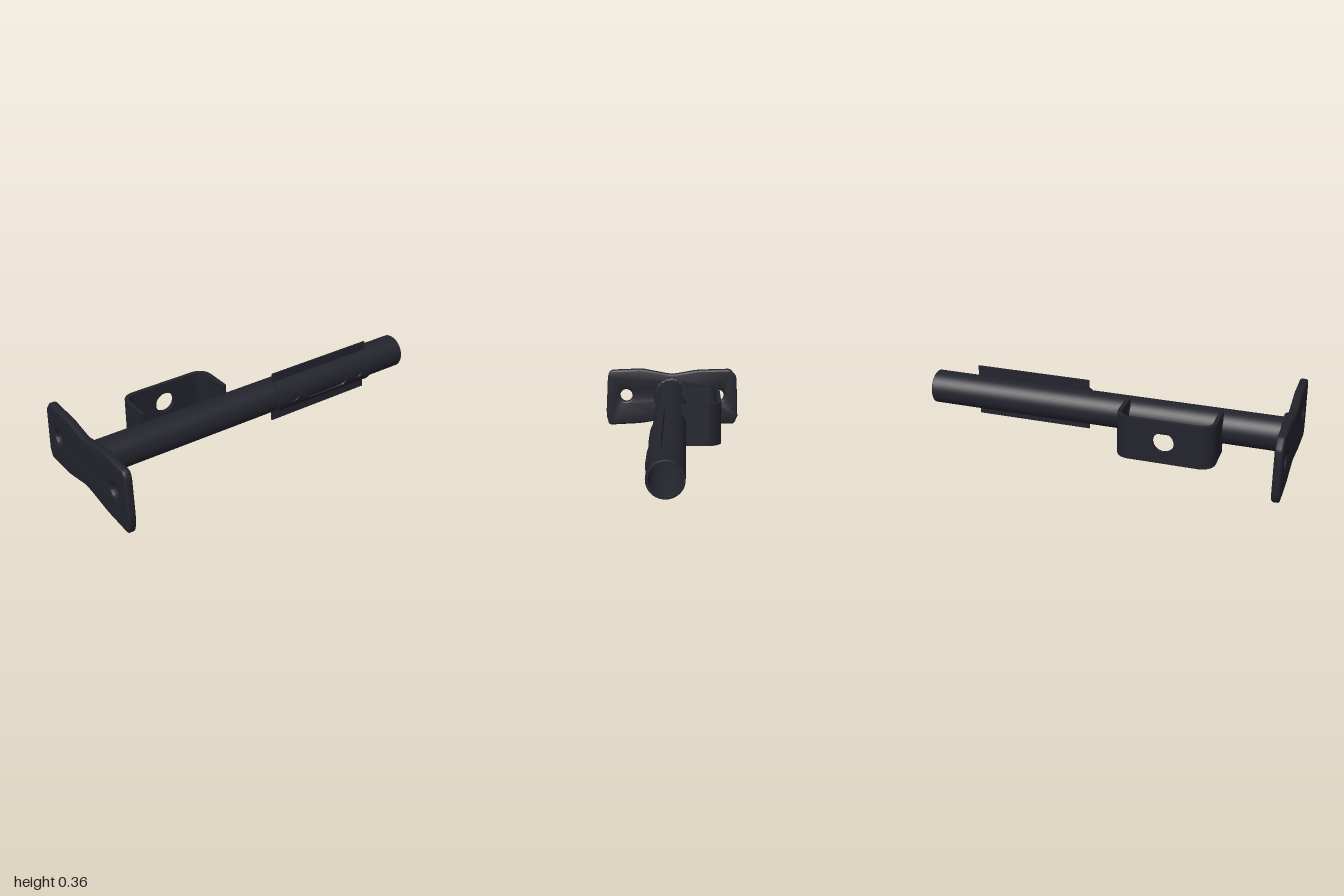
import * as THREE from 'three';
import { toCreasedNormals } from 'three/addons/utils/BufferGeometryUtils.js';

const CY = 0.19; // height of the tube axis
const R = 0.091; // tube radius
const SR = 0.1; // clamp sheet radius

export function createModel() {
  const model = new THREE.Group();
  model.name = 'tubeMount';
  const steel = new THREE.MeshStandardMaterial({ color: 0x23232d, side: THREE.DoubleSide });
  steel.name = 'darkSteel';

  const add = (name, geo, parent = model, crease = 0.6) => {
    const mesh = new THREE.Mesh(toCreasedNormals(geo, crease), steel);
    mesh.name = name;
    parent.add(mesh);
    return mesh;
  };
  const group = (name) => {
    const g = new THREE.Group();
    g.name = name;
    model.add(g);
    return g;
  };
  const shapeOf = (pts) => new THREE.Shape(pts.map(([x, y]) => new THREE.Vector2(x, y)));
  const circle = (x, y, r) => new THREE.Path().absarc(x, y, r, 0, Math.PI * 2, true);
  const extrude = (shape, depth, extra = {}) =>
    new THREE.ExtrudeGeometry(shape, { depth, bevelEnabled: false, curveSegments: 24, ...extra });

  // Grid surface from a rule f(i, j) -> [x, y, z]
  const surface = (ni, nj, f) => {
    const pos = [], idx = [];
    for (let i = 0; i <= ni; i++) for (let j = 0; j <= nj; j++) pos.push(...f(i, j));
    for (let i = 0; i < ni; i++) {
      for (let j = 0; j < nj; j++) {
        const a = i * (nj + 1) + j, b = a + nj + 1;
        idx.push(a, b, b + 1, a, b + 1, a + 1);
      }
    }
    const geo = new THREE.BufferGeometry();
    geo.setAttribute('position', new THREE.Float32BufferAttribute(pos, 3));
    geo.setIndex(idx);
    return geo;
  };

  // Hollow tube along x
  const tube = [[R, -0.96], [R, 0.996], [R - 0.003, 1], [0.079, 1], [0.077, 0.996], [0.077, -0.957]];
  add('tube', new THREE.LatheGeometry(tube.map(([r, x]) => new THREE.Vector2(r, x)), 48)
    .rotateZ(-Math.PI / 2).translate(0, CY, 0));

  // Weld bead with a slightly wavy rim
  const bead = [[0.113, -0.96], [0.113, -0.948], [0.109, -0.94], [0.102, -0.935], [0.089, -0.935]];
  const beadGeo = new THREE.LatheGeometry(bead.map(([r, x]) => new THREE.Vector2(r, x)), 120);
  const bp = beadGeo.attributes.position;
  for (let i = 0; i < bp.count; i++) {
    const k = 1 + 0.015 * Math.cos(20 * Math.atan2(bp.getZ(i), bp.getX(i)));
    bp.setX(i, bp.getX(i) * k);
    bp.setZ(i, bp.getZ(i) * k);
  }
  add('weldBead', beadGeo.rotateZ(-Math.PI / 2).translate(0, CY, 0));

  // Waisted mounting plate, outline in (z, y)
  const plate = shapeOf([
    [0.39, 0.003], [0.398, 0.012], [0.41, 0.06], [0.41, 0.1], [0.4, 0.305], [0.393, 0.33], [0.382, 0.343],
    [0.365, 0.349], [0.2, 0.356], [0.17, 0.354], [0.03, 0.327], [0, 0.324], [-0.03, 0.327], [-0.14, 0.347],
    [-0.17, 0.35], [-0.35, 0.356], [-0.367, 0.35], [-0.398, 0.313], [-0.402, 0.295], [-0.41, 0.06],
    [-0.393, 0.02], [-0.383, 0.011], [-0.2, 0.011], [-0.17, 0.016], [-0.04, 0.04], [0, 0.042],
    [0.04, 0.038], [0.18, 0.014], [0.22, 0.01], [0.375, 0.001],
  ]);
  for (const z of [-0.285, 0.285]) plate.holes.push(circle(z, CY, 0.038));
  add('mountingPlate', extrude(plate, 0.019, {
    bevelEnabled: true, bevelThickness: 0.012, bevelSize: 0.012, bevelOffset: -0.012, bevelSegments: 3,
  }).rotateY(-Math.PI / 2).translate(-0.969, 0, 0));

  // Bent strap bracket behind the tube
  const bracket = group('strapBracket');
  const T = 0.022, Y0 = 0.072, Y1 = 0.305, BX = -0.38, HALF = 0.26, BACK = -0.284, BEND = 0.075;
  const w = HALF - BEND;
  const panel = shapeOf([[-w, Y0], [w, Y0], [w, Y1], [-w, Y1]]);
  panel.holes.push(circle(0, CY, 0.056));
  add('bracketPanel', extrude(panel, T).translate(BX, 0, BACK), bracket);

  // Bracket arm, notched to sit on the tube, outline in (z, y)
  const notch = Math.asin(0.063 / R);
  const arm = new THREE.Shape();
  arm.moveTo(BACK + BEND, Y0);
  arm.lineTo(-0.063, Y0);
  arm.lineTo(-0.063, CY - R * Math.cos(notch));
  arm.absarc(0, CY, R, Math.PI * 1.5 - notch, Math.PI / 2 + notch, true);
  arm.lineTo(-0.063, Y1);
  arm.lineTo(BACK + BEND, Y1);
  for (const side of [-1, 1]) {
    const outer = BX + side * HALF;
    add('bracketArm', extrude(arm, T).rotateY(-Math.PI / 2)
      .translate(side > 0 ? outer : outer + T, 0, 0), bracket);
    // Quarter bend, drawn in (x, -z) and raised along y
    const cx = BX + side * w;
    const bend = new THREE.Shape();
    const [a0, a1] = side > 0 ? [0, Math.PI / 2] : [Math.PI / 2, Math.PI];
    bend.absarc(cx, -BACK - BEND, BEND, a0, a1, false);
    bend.absarc(cx, -BACK - BEND, BEND - T, a1, a0, true);
    add('bracketBend', extrude(bend, Y1 - Y0, { curveSegments: 6 })
      .rotateX(-Math.PI / 2).translate(0, Y0, 0), bracket);
  }

  // Clamp sheet wrapped round the front of the tube
  const clamp = group('clampSheet');
  const wrap = (x, s, r = SR) => [x, CY + r * Math.sin(s / SR), r * Math.cos(s / SR)];
  const X0 = 0.115, X1 = 0.76, SH = 0.07, SE = 0.127;

  // Rectangular patch with a rounded opening: [x0, x1, hole centre, half width, half height, corner]
  const N = 12;
  const square = (j) => {
    const q = ((j % (4 * N)) / N), k = Math.floor(q), f = (q - k) * 2 - 1;
    return [[1, f], [-f, 1], [-1, -f], [f, -1]][k];
  };
  const patches = [
    [X0, 0.29, 0.22, 0.028, 0.028, 0.028],
    [0.29, 0.6, 0.445, 0.135, 0.046, 0.034],
    [0.6, X1, 0.665, 0.028, 0.028, 0.028],
  ];
  for (const [x0, x1, hx, hw, hh, c] of patches) {
    add('clampFront', surface(7, 4 * N, (i, j) => {
      const [px, py] = square(j), len = Math.hypot(px, py);
      const ix = hx + Math.sign(px) * (hw - c) + c * px / len;
      const iy = Math.sign(py) * (hh - c) + c * py / len;
      const ox = (x0 + x1) / 2 + px * (x1 - x0) / 2, oy = py * SH;
      const t = Math.min(Math.max((i - 1) / 5, 0), 1);
      return wrap(ix + (ox - ix) * t, iy + (oy - iy) * t, i === 0 || i === 7 ? R - 0.001 : SR);
    }), clamp);
  }

  // Upper and lower wraps with their straight fins
  for (const side of [-1, 1]) {
    const [s0, s1] = side > 0 ? [SH, SE] : [-SE, -SH];
    add('clampWrap', surface(3, 8, (i, j) =>
      wrap(i < 2 ? X0 : X1, s0 + (s1 - s0) * j / 8, i === 0 || i === 3 ? R - 0.001 : SR)), clamp);
    add('clampFin', new THREE.BoxGeometry(X1 - X0, 0.059, 0.009)
      .translate((X0 + X1) / 2, CY + side * 0.1135, 0.028), clamp);
  }

  return model;
}
